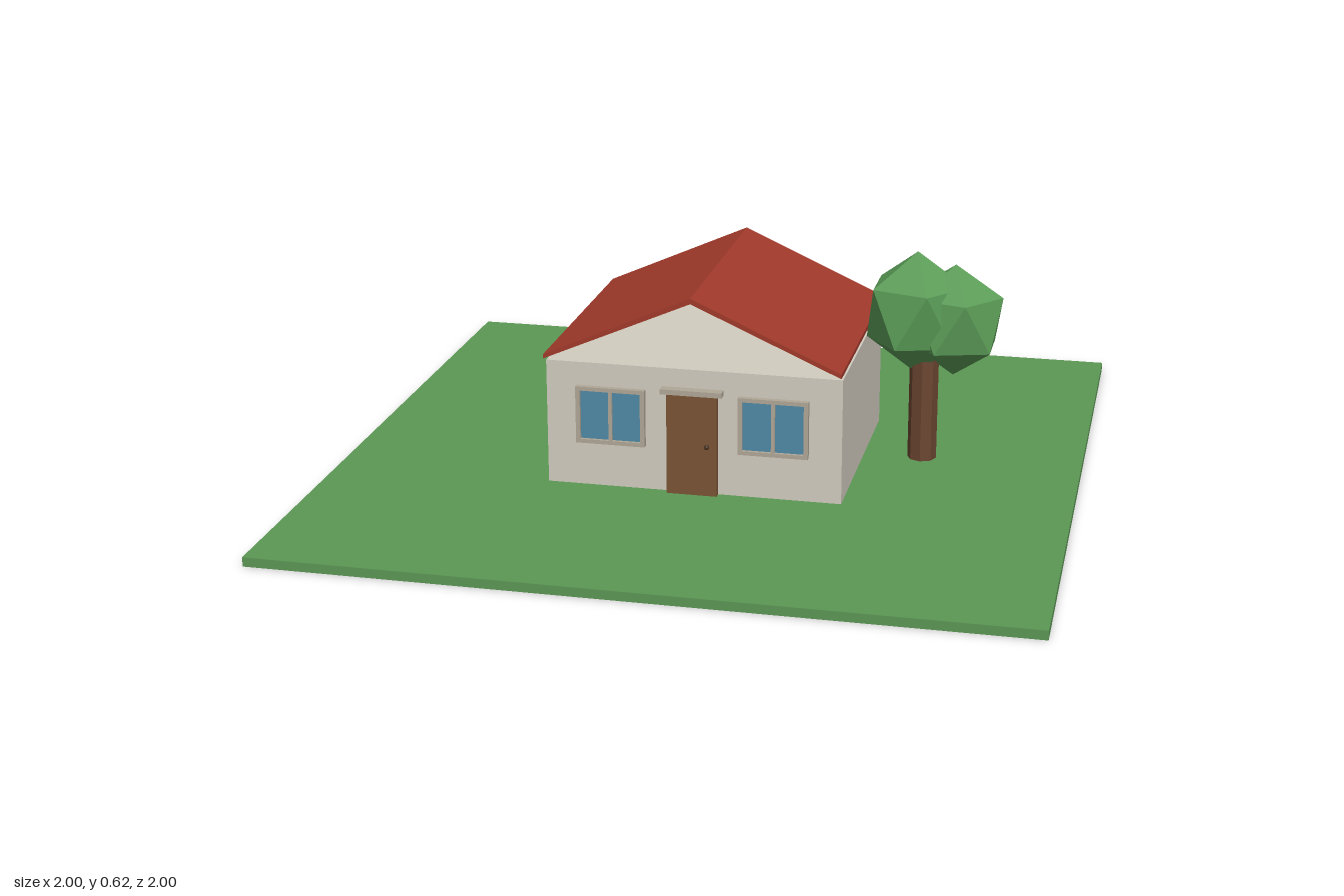
import * as THREE from 'three';

const mat = (name, color, flat = false) => {
  const m = new THREE.MeshStandardMaterial({ color, flatShading: flat });
  m.name = name;
  return m;
};

export function createModel() {
  const model = new THREE.Group();
  model.name = 'houseWithTree';

  const grass = mat('grass', 0x5c9855);
  const plaster = mat('plaster', 0xd2cdc0);
  const roofRed = mat('roofRed', 0xa23a2b);
  const doorWood = mat('doorWood', 0x7a5535);
  const trim = mat('trim', 0xb0a797);
  const glass = mat('glass', 0x4f8aa6);
  const bark = mat('bark', 0x6b4530, true);
  const leaves = mat('leaves', 0x5b9c57, true);
  const metal = mat('metal', 0x4a3322);

  const add = (parent, name, geometry, material, x = 0, y = 0, z = 0) => {
    const mesh = new THREE.Mesh(geometry, material);
    mesh.name = name;
    mesh.position.set(x, y, z);
    parent.add(mesh);
    return mesh;
  };
  // Box given by its min and max corners
  const box = (parent, name, material, [x0, y0, z0], [x1, y1, z1]) =>
    add(parent, name, new THREE.BoxGeometry(x1 - x0, y1 - y0, z1 - z0), material,
      (x0 + x1) / 2, (y0 + y1) / 2, (z0 + z1) / 2);

  // Lawn
  box(model, 'lawn', grass, [-1, 0, -1], [1, 0.025, 1]);

  // House body and open-gabled roof
  const house = new THREE.Group();
  house.name = 'house';
  model.add(house);
  box(house, 'walls', plaster, [-0.4, 0.025, -0.333], [0.4, 0.37, 0.333]);

  const profile = new THREE.Shape([
    [-0.4, 0.382], [0, 0.558], [0.4, 0.382], [0.4, 0.394], [0, 0.573], [-0.4, 0.394],
  ].map(([x, y]) => new THREE.Vector2(x, y)));
  const roofGeo = new THREE.ExtrudeGeometry(profile, { depth: 0.72, bevelEnabled: false });
  add(house, 'roof', roofGeo, roofRed, 0, 0, -0.36);

  // Door with lintel and knob
  box(house, 'door', doorWood, [-0.068, 0.025, 0.33], [0.068, 0.307, 0.352]);
  box(house, 'doorLintel', trim, [-0.083, 0.305, 0.33], [0.083, 0.319, 0.36]);
  add(house, 'doorKnob', new THREE.SphereGeometry(0.007, 10, 8), metal, 0.042, 0.165, 0.357);

  // Two framed windows
  for (const side of [-1, 1]) {
    const win = new THREE.Group();
    win.name = side < 0 ? 'rightWindow' : 'leftWindow';
    win.position.set(side * 0.22, 0.231, 0);
    house.add(win);
    box(win, 'pane', glass, [-0.084, -0.07, 0.33], [0.084, 0.07, 0.351]);
    box(win, 'frameTop', trim, [-0.094, 0.068, 0.345], [0.094, 0.079, 0.36]);
    box(win, 'frameSill', trim, [-0.094, -0.079, 0.345], [0.094, -0.068, 0.36]);
    for (const s of [-1, 1])
      box(win, 'frameSide', trim, [s * 0.088 - 0.006, -0.068, 0.345], [s * 0.088 + 0.006, 0.068, 0.36]);
    box(win, 'mullion', trim, [-0.005, -0.068, 0.345], [0.005, 0.068, 0.358]);
  }

  // Tree: octagonal trunk under two faceted crowns
  const tree = new THREE.Group();
  tree.name = 'tree';
  model.add(tree);
  add(tree, 'trunk', new THREE.CylinderGeometry(0.04, 0.04, 0.325, 8), bark, 0.56, 0.1875, -0.065);
  const crownGeo = new THREE.IcosahedronGeometry(1, 0);
  crownGeo.rotateZ(-Math.atan2(2, 1 + Math.sqrt(5))); // stand on a vertex
  add(tree, 'largeCrown', crownGeo, leaves, 0.535, 0.443, -0.067).scale.set(0.152, 0.172, 0.141);
  add(tree, 'smallCrown', crownGeo, leaves, 0.638, 0.425, -0.075).scale.set(0.146, 0.157, 0.13);

  return model;
}
